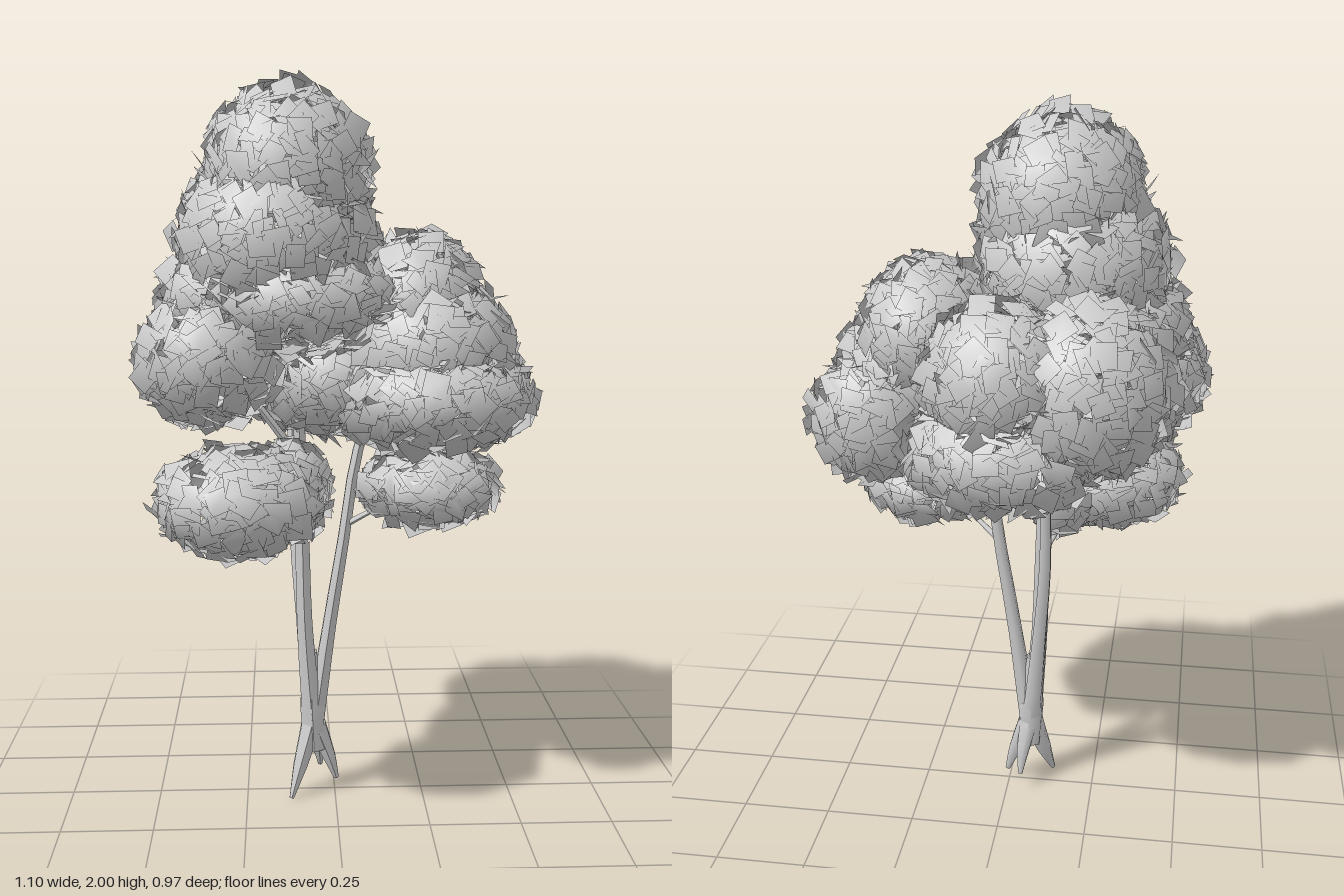
import * as THREE from 'three';
import { mergeGeometries } from 'three/addons/utils/BufferGeometryUtils.js';

const UP = new THREE.Vector3(0, 1, 0);
const FORWARD = new THREE.Vector3(0, 0, 1);

// Small seeded random generator
function seeded(seed) {
  return () => {
    seed = (seed * 1664525 + 1013904223) % 4294967296;
    return seed / 4294967296;
  };
}

// Foliage clumps: centre x, y, z and radii x, y, z
const CLUMPS = [
  ['crownTop', -0.13, 1.74, 0.07, 0.21, 0.22, 0.22],
  ['crownMiddle', -0.16, 1.57, 0.07, 0.25, 0.22, 0.26],
  ['crownFront', -0.09, 1.42, 0.11, 0.23, 0.14, 0.23],
  ['rightShoulder', -0.33, 1.27, 0.11, 0.18, 0.17, 0.21],
  ['rightUpperShoulder', -0.29, 1.42, 0.05, 0.17, 0.14, 0.2],
  ['lowFrontClump', -0.26, 0.91, 0.26, 0.2, 0.13, 0.18],
  ['lowInnerClump', -0.13, 0.91, 0.14, 0.1, 0.12, 0.14],
  ['lowLeftClump', 0.25, 0.92, 0.12, 0.17, 0.1, 0.16],
  ['leftUpperClump', 0.22, 1.4, 0.0, 0.17, 0.18, 0.21],
  ['leftMiddleClump', 0.25, 1.28, 0.05, 0.22, 0.19, 0.23],
  ['leftLowerClump', 0.26, 1.16, 0.1, 0.25, 0.14, 0.24],
  ['leftBackClump', 0.36, 1.18, -0.11, 0.15, 0.16, 0.12],
  ['centreClump', 0.01, 1.2, 0.0, 0.2, 0.15, 0.2],
  ['backRightClump', -0.23, 1.32, -0.22, 0.21, 0.22, 0.21],
  ['backMiddleClump', -0.01, 1.35, -0.24, 0.19, 0.19, 0.2],
  ['backLowClump', -0.02, 1.16, -0.27, 0.24, 0.14, 0.18],
];

const insideClump = (p, c, k) =>
  ((p.x - c[1]) / c[4]) ** 2 + ((p.y - c[2]) / c[5]) ** 2 + ((p.z - c[3]) / c[6]) ** 2 < k * k;

// Square leaf cards scattered over an ellipsoid, shaded with its smooth normals
function foliageGeometry(clump, rand) {
  const [, cx, cy, cz, rx, ry, rz] = clump;
  const cards = [];
  const area = 4 * Math.PI * ((rx * ry) ** 1.6 / 3 + (rx * rz) ** 1.6 / 3 + (ry * rz) ** 1.6 / 3) ** (1 / 1.6);
  const count = Math.round(area * 850);
  for (let i = 0; i < count; i++) {
    const h = 1 - (2 * (i + 0.5)) / count;
    const a = i * 2.39996 + rand() * 0.3;
    const s = Math.sqrt(1 - h * h);
    const depth = 0.92 + rand() * 0.17;
    const p = new THREE.Vector3(
      cx + rx * s * Math.cos(a) * depth, cy + ry * h * depth, cz + rz * s * Math.sin(a) * depth);
    const size = 0.052 + rand() * 0.018;
    const roll = rand() * Math.PI * 2;
    const tiltX = (rand() - 0.5) * 1.5, tiltY = (rand() - 0.5) * 1.5;
    if (CLUMPS.some((c) => c !== clump && insideClump(p, c, 0.75))) continue;
    const normal = new THREE.Vector3(s * Math.cos(a) / rx, h / ry, s * Math.sin(a) / rz).normalize();
    const card = new THREE.PlaneGeometry(size, size);
    card.rotateZ(roll).rotateX(tiltX).rotateY(tiltY);
    card.applyQuaternion(new THREE.Quaternion().setFromUnitVectors(FORWARD, normal));
    card.translate(p.x, p.y, p.z);
    const pos = card.attributes.position;
    for (let v = 0; v < pos.count; v++) {
      const n = new THREE.Vector3(
        (pos.getX(v) - cx) / rx ** 2, (pos.getY(v) - cy) / ry ** 2, (pos.getZ(v) - cz) / rz ** 2).normalize();
      card.attributes.normal.setXYZ(v, n.x, n.y, n.z);
    }
    cards.push(card);
  }
  return mergeGeometries(cards);
}

// Tapered limb through points [x, y, z, radius], built from six-sided sections
function limbGeometry(points) {
  const curve = new THREE.CatmullRomCurve3(points.map((p) => new THREE.Vector3(p[0], p[1], p[2])));
  const rings = (points.length - 1) * 3, sides = 6;
  const geo = new THREE.CylinderGeometry(1, 1, 1, sides, rings);
  const pos = geo.attributes.position;
  const q = new THREE.Quaternion();
  for (let i = 0; i < pos.count; i++) {
    const t = Math.min(1, Math.max(0, pos.getY(i) + 0.5));
    const f = t * (points.length - 1);
    const k = Math.min(points.length - 2, Math.floor(f));
    const r = THREE.MathUtils.lerp(points[k][3], points[k + 1][3], f - k);
    q.setFromUnitVectors(UP, curve.getTangent(t));
    const v = new THREE.Vector3(pos.getX(i) * r, 0, pos.getZ(i) * r).applyQuaternion(q).add(curve.getPoint(t));
    pos.setXYZ(i, v.x, v.y, v.z);
  }
  geo.computeVertexNormals();
  return geo;
}

// Limbs run from bottom to top
const LIMBS = {
  trunk: [[-0.06, 0.13, 0.012, 0.034], [-0.065, 0.25, 0.01, 0.038], [-0.072, 0.42, 0.01, 0.024]],
  rootFront: [[-0.125, 0.005, 0.07, 0.007], [-0.1, 0.09, 0.042, 0.022], [-0.068, 0.2, 0.015, 0.032]],
  rootLeft: [[0.005, 0.035, 0.0, 0.008], [-0.015, 0.1, 0.004, 0.02], [-0.052, 0.2, 0.01, 0.03]],
  rootBack: [[-0.04, 0.055, -0.055, 0.007], [-0.045, 0.12, -0.03, 0.02], [-0.058, 0.2, 0.005, 0.03]],
  stemMain: [[-0.065, 0.22, 0.015, 0.032], [-0.085, 0.5, 0.02, 0.025], [-0.092, 0.8, 0.022, 0.022],
    [-0.1, 1.1, 0.04, 0.018], [-0.13, 1.5, 0.07, 0.01]],
  stemBack: [[-0.065, 0.22, 0.005, 0.03], [-0.09, 0.5, -0.035, 0.021], [-0.11, 0.75, -0.075, 0.018],
    [-0.115, 1.0, -0.11, 0.015], [-0.14, 1.3, -0.18, 0.008]],
  stemLeft: [[-0.055, 0.22, 0.01, 0.028], [-0.015, 0.5, 0.012, 0.021], [0.025, 0.75, 0.01, 0.018],
    [0.065, 1.0, 0.005, 0.016], [0.17, 1.3, 0.0, 0.009]],
  branchShoulder: [[-0.1, 0.98, 0.03, 0.014], [-0.2, 1.12, 0.06, 0.011], [-0.32, 1.27, 0.1, 0.006]],
  branchLowLeft: [[0.035, 0.79, 0.01, 0.009], [0.11, 0.84, 0.05, 0.007], [0.24, 0.91, 0.11, 0.005]],
  branchLowFront: [[-0.09, 0.74, 0.025, 0.01], [-0.15, 0.83, 0.12, 0.008], [-0.25, 0.92, 0.25, 0.005]],
};

export function createModel() {
  const tree = new THREE.Group();
  tree.name = 'tree';
  const bark = new THREE.MeshStandardMaterial({ color: 0xcccccc });
  const leaf = new THREE.MeshStandardMaterial({ color: 0xcccccc, side: THREE.DoubleSide });

  // Roots, trunk, stems and branches
  const wood = new THREE.Group();
  wood.name = 'wood';
  for (const [name, points] of Object.entries(LIMBS)) {
    const mesh = new THREE.Mesh(limbGeometry(points), bark);
    mesh.name = name;
    wood.add(mesh);
  }

  // Leaf clumps
  const foliage = new THREE.Group();
  foliage.name = 'foliage';
  const rand = seeded(7);
  for (const clump of CLUMPS) {
    const mesh = new THREE.Mesh(foliageGeometry(clump, rand), leaf);
    mesh.name = clump[0];
    foliage.add(mesh);
  }

  tree.add(wood, foliage);
  return tree;
}
